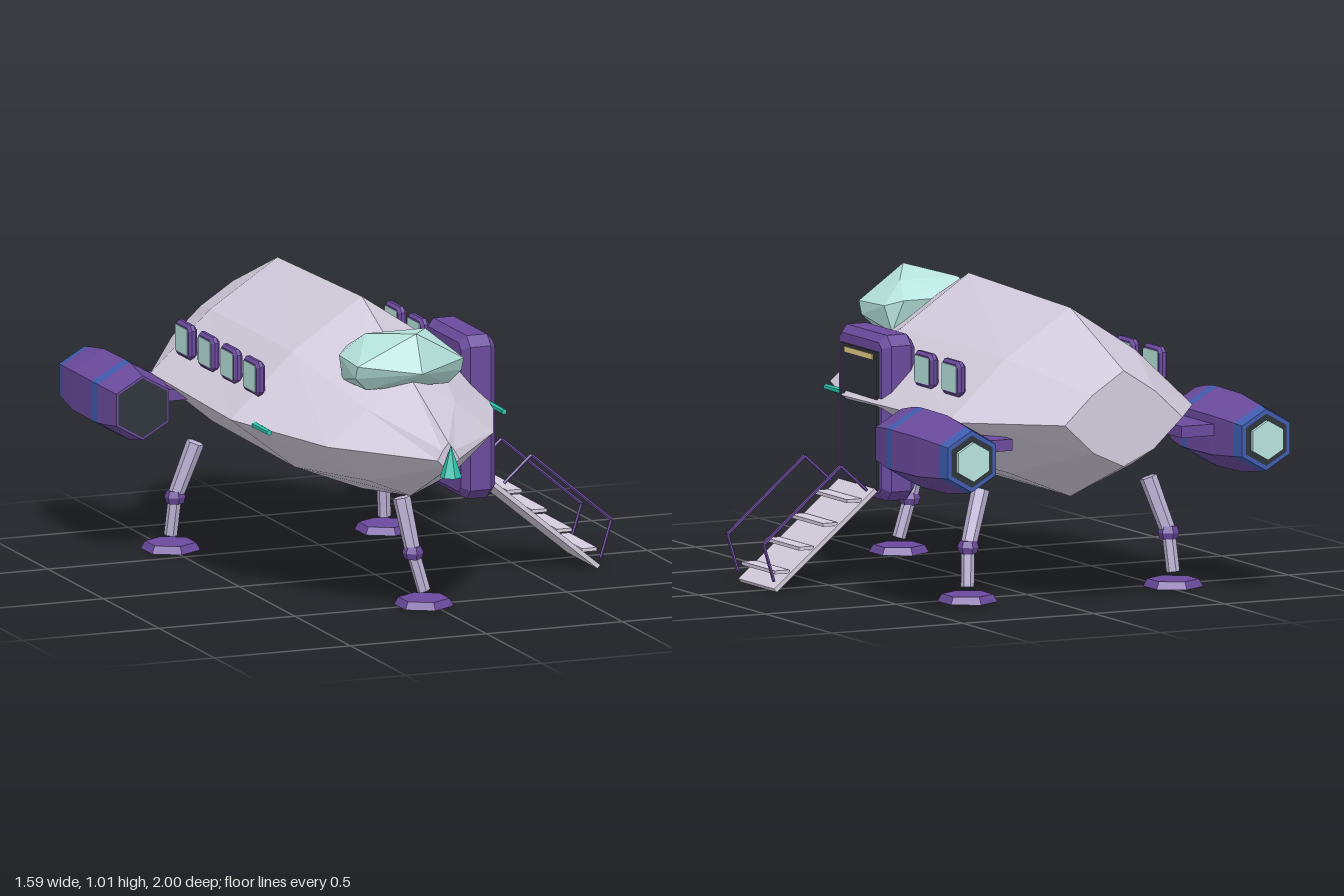
import * as THREE from 'three';
import { ConvexGeometry } from 'three/addons/geometries/ConvexGeometry.js';

const mat = (color) => new THREE.MeshStandardMaterial({ color, flatShading: true });
const hullMat = mat(0xd3ccdd), legMat = mat(0xbdb4d6), purple = mat(0x6a4a9c), blue = mat(0x3f5cae);
const dark = mat(0x2e343c), glass = mat(0xb8e4de), teal = mat(0x2fc4ae), yellow = mat(0xe6cf8c);

function add(parent, name, geometry, material, x = 0, y = 0, z = 0) {
  const mesh = new THREE.Mesh(geometry, material);
  mesh.name = name;
  mesh.position.set(x, y, z);
  parent.add(mesh);
  return mesh;
}

// Prism running from point a to point b
function rod(parent, name, a, b, r0, r1, material, sides = 6) {
  const p = new THREE.Vector3(...a), q = new THREE.Vector3(...b);
  const mesh = add(parent, name, new THREE.CylinderGeometry(r1, r0, p.distanceTo(q), sides), material);
  mesh.position.copy(p).lerp(q, 0.5);
  mesh.quaternion.setFromUnitVectors(new THREE.Vector3(0, 1, 0), q.sub(p).normalize());
  return mesh;
}

// Upright bevelled panel facing along x, with cut corners
function panelGeometry(width, height, thick, bevel, cut) {
  const w = width / 2 - bevel, h = height / 2 - bevel;
  const shape = new THREE.Shape([
    [w, -h + cut], [w, h - cut], [w - cut, h], [-w + cut, h],
    [-w, h - cut], [-w, -h + cut], [-w + cut, -h], [w - cut, -h],
  ].map(([x, y]) => new THREE.Vector2(x, y)));
  const geo = new THREE.ExtrudeGeometry(shape, {
    depth: thick - 2 * bevel, bevelEnabled: true, bevelThickness: bevel, bevelSize: bevel, bevelSegments: 1,
  });
  return geo.translate(0, 0, bevel - thick / 2).rotateY(Math.PI / 2);
}

// Eight-sided hull lofted through stations: z, half width, bottom, side and top heights
function hullGeometry() {
  const stations = [
    [0.94, 0.04, 0.575, 0.605, 0.665], [0.6, 0.305, 0.41, 0.605, 0.82], [0.16, 0.483, 0.345, 0.625, 1.015],
    [-0.6, 0.467, 0.345, 0.63, 0.995], [-1, 0.225, 0.5, 0.655, 0.83],
  ];
  const rings = stations.map(([z, w, bottom, side, top]) => {
    const up = side + 0.56 * (top - side), low = side + 0.66 * (bottom - side);
    return [[w, side], [0.53 * w, up], [0, top], [-0.53 * w, up],
      [-w, side], [-0.51 * w, low], [0, bottom], [0.51 * w, low]].map(([x, y]) => [x, y, z]);
  });
  const pos = [];
  const tri = (...corners) => corners.forEach((c) => pos.push(...c));
  const front = [0, 0.605, 0.94], back = [0, 0.655, -1];
  for (let k = 0; k < 8; k++) {
    const n = (k + 1) % 8;
    for (let i = 0; i < rings.length - 1; i++) {
      const a = rings[i][k], b = rings[i][n], c = rings[i + 1][n], d = rings[i + 1][k];
      tri(a, d, b);
      tri(d, c, b);
    }
    tri(front, rings[0][k], rings[0][n]);
    tri(back, rings[4][n], rings[4][k]);
  }
  const geo = new THREE.BufferGeometry();
  geo.setAttribute('position', new THREE.Float32BufferAttribute(pos, 3));
  geo.computeVertexNormals();
  return geo;
}

// Hexagonal engine pod made of coloured bands: [radius, z] pairs from back to front
function enginePod(parent, side) {
  const pod = new THREE.Group();
  pod.name = side > 0 ? 'leftEngine' : 'rightEngine';
  pod.position.set(side * 0.5625, 0.55, 0);
  const bands = [
    ['exhaust', glass, [[0, -0.98], [0.068, -0.98], [0.068, -0.95]].map(([r, z]) => [r, z])],
    ['exhaustRim', dark, [[0, -0.966], [0.09, -0.966]]],
    ['rearBand', blue, [[0.088, -0.965], [0.106, -0.965], [0.115, -0.92]]],
    ['rearShell', purple, [[0.115, -0.92], [0.135, -0.78], [0.137, -0.6]]],
    ['frontBand', blue, [[0.137, -0.6], [0.135, -0.555]]],
    ['frontShell', purple, [[0.135, -0.555], [0.128, -0.51], [0.112, -0.435], [0.1, -0.435]]],
    ['intake', dark, [[0.104, -0.434], [0, -0.434]]],
  ];
  for (const [name, material, profile] of bands) {
    const geo = new THREE.LatheGeometry(profile.map(([r, z]) => new THREE.Vector2(r, z)), 6);
    add(pod, name, geo.rotateX(Math.PI / 2), material);
  }
  add(pod, 'pylon', new THREE.BoxGeometry(0.2, 0.04, 0.3), purple, -side * 0.14, 0.02, -0.65);
  parent.add(pod);
}

// Jointed landing leg: hip, knee, ankle and foot centre
function landingLeg(parent, name, hip, knee, ankle) {
  const leg = new THREE.Group();
  leg.name = name;
  rod(leg, 'upperLeg', knee, hip, 0.027, 0.031, legMat);
  rod(leg, 'lowerLeg', ankle, knee, 0.023, 0.023, legMat);
  add(leg, 'knee', new THREE.CylinderGeometry(0.028, 0.037, 0.022, 6), purple, knee[0], knee[1] + 0.011, knee[2]);
  add(leg, 'kneeBase', new THREE.CylinderGeometry(0.037, 0.03, 0.022, 6), purple, knee[0], knee[1] - 0.011, knee[2]);
  add(leg, 'foot', new THREE.CylinderGeometry(0.088, 0.103, 0.026, 6), purple, ankle[0], 0.023, ankle[2]);
  parent.add(leg);
}

function boardingRamp(parent) {
  const ramp = new THREE.Group();
  ramp.name = 'boardingRamp';
  ramp.position.z = 0.068;
  const plank = add(ramp, 'plank', new THREE.BoxGeometry(0.5, 0.016, 0.27), hullMat, 0.662, 0.168, 0);
  plank.rotation.z = -Math.atan2(0.32, 0.385);
  for (let i = 0; i < 4; i++) {
    add(ramp, 'tread', new THREE.BoxGeometry(0.055, 0.012, 0.25), hullMat, 0.548 + i * 0.092, 0.295 - i * 0.0755, 0);
  }
  const rail = [[0.505, 0.33], [0.605, 0.42], [0.9, 0.17], [0.86, 0.04]];
  for (const z of [-0.135, 0.135]) {
    for (let i = 0; i < 3; i++) {
      rod(ramp, 'handrail', [...rail[i], z], [...rail[i + 1], z], 0.006, 0.006, purple, 5);
    }
  }
  parent.add(ramp);
}

export function createModel() {
  const root = new THREE.Group();
  root.name = 'spaceship';
  const ship = new THREE.Group();
  ship.name = 'ship';
  ship.position.x = -0.115; // hull sits off centre to make room for the ramp
  root.add(ship);

  add(ship, 'hull', hullGeometry(), hullMat);

  // Faceted cockpit canopy
  const canopy = [[0, 0.985, 0.65], [0, 0.855, 0.705], [0, 0.93, 0.4]];
  for (const s of [-1, 1]) {
    canopy.push([s * 0.195, 0.875, 0.6], [s * 0.195, 0.83, 0.58], [s * 0.15, 0.785, 0.57], [s * 0.17, 0.79, 0.4],
      [s * 0.19, 0.88, 0.42], [s * 0.14, 0.9, 0.37], [s * 0.11, 0.957, 0.46]);
  }
  add(ship, 'canopy', new ConvexGeometry(canopy.map((p) => new THREE.Vector3(...p))), glass);

  // Nose cone and side probes
  add(ship, 'noseCone', new THREE.ConeGeometry(0.038, 0.112, 6), teal, 0, 0.606, 0.962);
  for (const s of [-1, 1]) {
    rod(ship, 'sideProbe', [s * 0.432, 0.622, 0.255], [s * 0.432, 0.622, 0.385], 0.012, 0.01, teal);
    enginePod(ship, s);
  }

  // Framed windows: two beside the door, four on the other side
  const windowFrame = panelGeometry(0.14, 0.122, 0.032, 0.01, 0.012);
  for (const [s, count] of [[1, 2], [-1, 4]]) {
    for (let i = 0; i < count; i++) {
      const z = -0.48 + i * 0.204;
      add(ship, 'windowFrame', windowFrame, purple, s * 0.385, 0.764, z);
      add(ship, 'windowGlass', new THREE.BoxGeometry(0.036, 0.092, 0.108), glass, s * 0.385, 0.764, z);
    }
  }

  // Doorway
  add(ship, 'doorFrame', panelGeometry(0.37, 0.57, 0.125, 0.025, 0.02), purple, 0.398, 0.575, 0.07);
  add(ship, 'doorPanel', new THREE.BoxGeometry(0.03, 0.475, 0.275), dark, 0.452, 0.565, 0.068);
  add(ship, 'doorLight', new THREE.BoxGeometry(0.01, 0.02, 0.21), yellow, 0.465, 0.782, 0.068);
  boardingRamp(ship);

  // Landing gear
  landingLeg(ship, 'frontLeg', [0.005, 0.385, 0.505], [0.038, 0.195, 0.527], [0.075, 0.06, 0.535]);
  for (const s of [-1, 1]) {
    landingLeg(ship, s > 0 ? 'rearLeftLeg' : 'rearRightLeg',
      [s * 0.32, 0.385, -0.555], [s * 0.383, 0.195, -0.585], [s * 0.393, 0.06, -0.6]);
  }
  return root;
}
